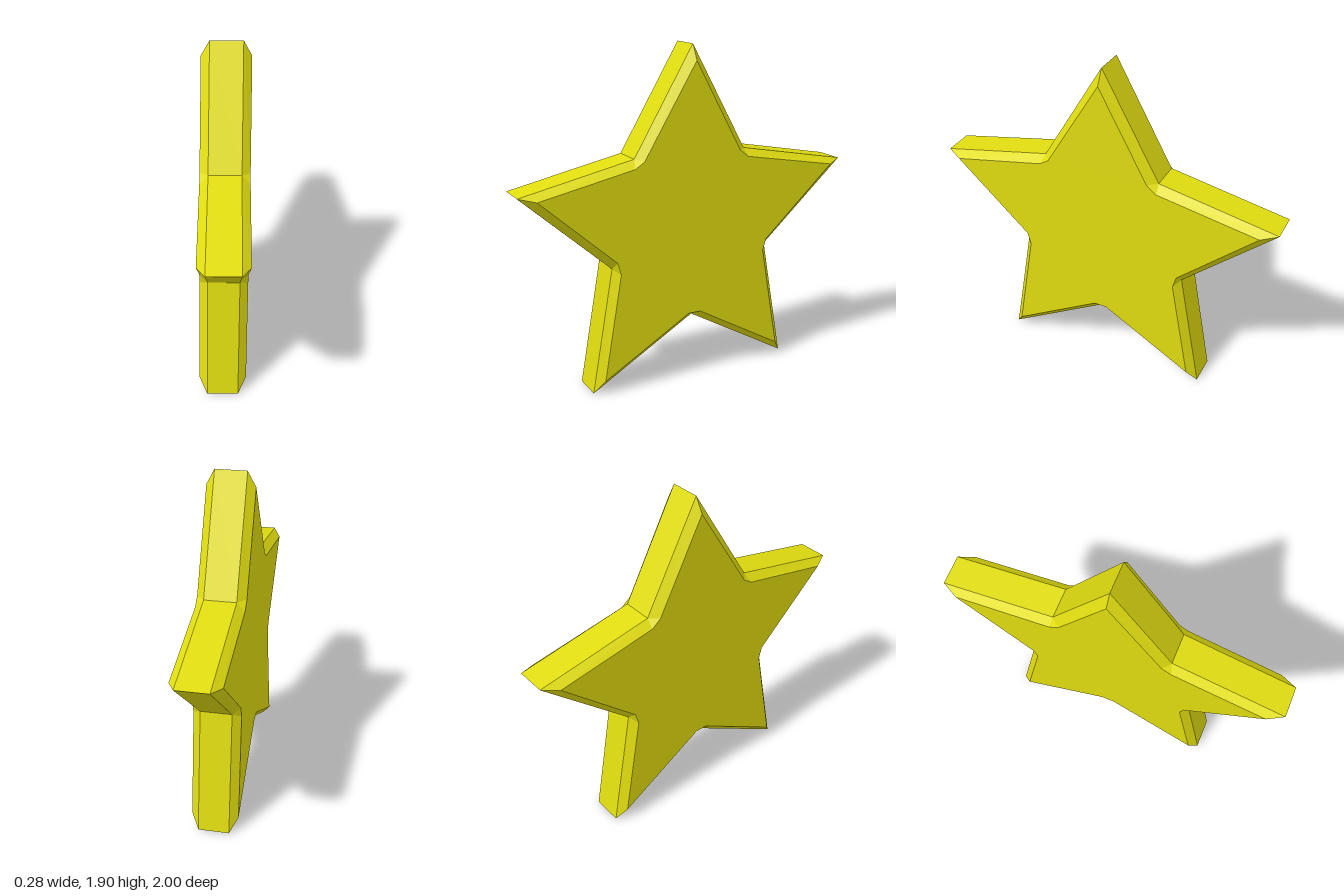
import * as THREE from 'three';

// Outline points as [z, y]; each valley is listed twice so that it matches
// the two-point valleys of the inset face outline.
const outer = [
  [0, 1.9], [0.35, 1.31], [0.35, 1.31],
  [1, 1.175], [0.49, 0.715], [0.49, 0.715],
  [0.615, 0], [0, 0.36], [0, 0.36],
  [-0.615, 0.005], [-0.485, 0.715], [-0.485, 0.715],
  [-1, 1.175], [-0.33, 1.305], [-0.33, 1.305],
];
const inset = [
  [0, 1.815], [0.31, 1.3], [0.365, 1.265],
  [0.91, 1.155], [0.475, 0.76], [0.455, 0.69],
  [0.56, 0.08], [0.04, 0.385], [-0.035, 0.385],
  [-0.56, 0.08], [-0.45, 0.685], [-0.47, 0.755],
  [-0.91, 1.155], [-0.335, 1.262], [-0.28, 1.305],
];

// Places an outline at a given thickness, with the slight lean of the slab
const ring = (outline, x) => outline.map(([z, y]) =>
  new THREE.Vector3(x + 0.009 * (y - 1) - 0.005 * z - 0.003, y, z));

function starGeometry() {
  const rings = [ring(inset, -0.132), ring(outer, -0.087), ring(outer, 0.087), ring(inset, 0.132)];
  const positions = [];
  const tri = (a, b, c) => {
    if (a.equals(b) || b.equals(c) || c.equals(a)) return;
    for (const p of [a, b, c]) positions.push(p.x, p.y, p.z);
  };

  // Bevel, rim, bevel
  for (let r = 0; r < 3; r++) {
    const a = rings[r], b = rings[r + 1];
    for (let i = 0; i < a.length; i++) {
      const j = (i + 1) % a.length;
      tri(a[i], a[j], b[j]);
      tri(a[i], b[j], b[i]);
    }
  }

  // Two flat star faces
  const contour = inset.map(([z, y]) => new THREE.Vector2(-z, y));
  for (const [i, j, k] of THREE.ShapeUtils.triangulateShape(contour, [])) {
    tri(rings[3][i], rings[3][j], rings[3][k]);
    tri(rings[0][i], rings[0][k], rings[0][j]);
  }

  const geometry = new THREE.BufferGeometry();
  geometry.setAttribute('position', new THREE.Float32BufferAttribute(positions, 3));
  geometry.computeVertexNormals(); // unshared corners give flat facets
  return geometry;
}

export function createModel() {
  const yellow = new THREE.MeshStandardMaterial({ color: 0xe0dc10 });
  yellow.name = 'yellow';

  const star = new THREE.Mesh(starGeometry(), yellow);
  star.name = 'star';

  const group = new THREE.Group();
  group.name = 'bevelledStar';
  group.add(star);
  return group;
}
